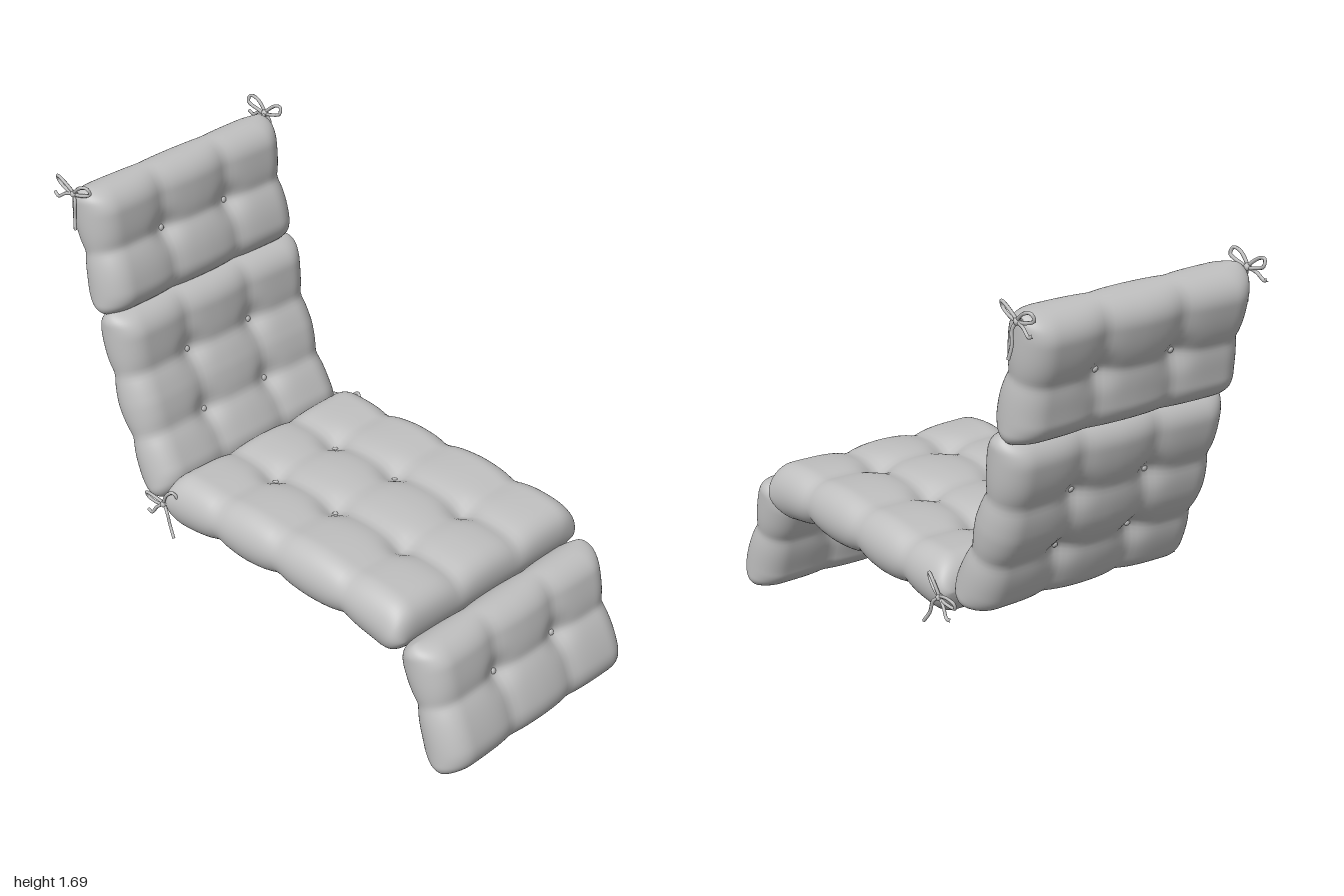
import * as THREE from 'three';
import { mergeVertices } from 'three/addons/utils/BufferGeometryUtils.js';

const fabric = new THREE.MeshStandardMaterial({ color: 0xc0c0c0 });
fabric.name = 'grey fabric';

const COLUMNS = [-0.165, 0.15]; // x of the tufted columns
const EDGE = 0.1;               // rounding of the pillow edge
const CORNER = 0.05;            // rounding of the corners in plan

const crease = (d, w) => Math.exp(0.25 - Math.sqrt(d * d / (w * w) + 0.0625));
const round = (d) => Math.sqrt(Math.max(0, 1 - (1 - Math.min(d / EDGE, 1)) ** 2));

// Each cushion follows a [z, y] centre line; rows are fractions of its length
const CUSHIONS = [
  { name: 'legCushion', line: [[0.905, 0.003], [0.885, 0.1], [0.825, 0.26], [0.78, 0.4], [0.755, 0.49]],
    half: 0.475, x: -0.013, thick: 0.107, rows: [0.53], buttons: [0.53] },
  { name: 'seatCushion', line: [[0.71, 0.47], [0.6, 0.502], [0.3, 0.524], [-0.1, 0.526], [-0.49, 0.52]],
    half: 0.492, x: -0.004, thick: 0.114, rows: [0.24, 0.515, 0.77], buttons: [0.515, 0.77] },
  { name: 'backCushion', line: [[-0.535, 0.49], [-0.61, 0.65], [-0.69, 0.85], [-0.74, 1.02], [-0.765, 1.195]],
    half: 0.47, x: -0.006, thick: 0.106, rows: [0.33, 0.66], buttons: [0.33, 0.66] },
  { name: 'headCushion', line: [[-0.795, 1.17], [-0.81, 1.3], [-0.85, 1.46], [-0.88, 1.655]],
    half: 0.47, x: -0.01, thick: 0.11, rows: [0.5], buttons: [0.5] },
];

// Returns a function giving the point of the pillow at u, v (-1..1, 0..1) on one side
function pillowSurface({ line, half, x: cx, thick, rows }) {
  const curve = new THREE.CatmullRomCurve3(line.map(([z, y]) => new THREE.Vector3(0, y, z)));
  const length = curve.getLength();
  const surface = (u, v, side) => {
    const p = curve.getPointAt(v), t = curve.getTangentAt(v);
    const normal = new THREE.Vector3(0, -t.z, t.y);
    const endDist = Math.min(v, 1 - v) * length;
    const k = Math.max(0, CORNER - endDist);
    const rowDist = Math.min(...rows.map((r) => Math.abs(v - r))) * length;
    const row = crease(rowDist, 0.055);
    const inset = CORNER - Math.sqrt(CORNER * CORNER - k * k) + 0.014 * row;
    const x = u * (half - inset);
    const colDist = Math.min(...COLUMNS.map((c) => Math.abs(x + cx - c)));
    const col = crease(colDist, 0.05);
    const tuft = Math.exp(-(rowDist ** 2 + colDist ** 2) / 0.003);
    const sag = 1 - 0.2 * row - 0.2 * col - 0.2 * tuft;
    const height = thick * sag * round((1 - Math.abs(u)) * half) * round(endDist);
    p.addScaledVector(normal, side * height);
    p.x = x + cx;
    return { p, normal: normal.multiplyScalar(side) };
  };
  return surface;
}

function pillowGeometry(surface, n = 64) {
  const positions = [], index = [];
  for (const side of [1, -1]) {
    const base = positions.length / 3;
    for (let j = 0; j <= n; j++) {
      for (let i = 0; i <= n; i++) {
        // samples crowd towards the rounded edges
        const u = -Math.cos(Math.PI * i / n), v = (1 - Math.cos(Math.PI * j / n)) / 2;
        positions.push(...surface(u, v, side).p.toArray());
        if (i === n || j === n) continue;
        const a = base + j * (n + 1) + i, b = a + 1, c = a + n + 1, d = c + 1;
        if (side > 0) index.push(a, b, d, a, d, c);
        else index.push(a, d, b, a, c, d);
      }
    }
  }
  const geometry = new THREE.BufferGeometry();
  geometry.setAttribute('position', new THREE.Float32BufferAttribute(positions, 3));
  geometry.setIndex(index);
  const welded = mergeVertices(geometry, 1e-5);
  welded.computeVertexNormals();
  return welded;
}

function addMesh(parent, name, geometry) {
  const mesh = new THREE.Mesh(geometry, fabric);
  mesh.name = name;
  parent.add(mesh);
  return mesh;
}

function createCushion(spec) {
  const group = new THREE.Group();
  group.name = spec.name;
  const surface = pillowSurface(spec);
  addMesh(group, 'pillow', pillowGeometry(surface));
  // Buttons sit in the tufts on both faces
  const up = new THREE.Vector3(0, 1, 0);
  for (const v of spec.buttons) for (const column of COLUMNS) for (const side of [1, -1]) {
    const { p, normal } = surface((column - spec.x) / (spec.half - 0.014), v, side);
    const button = addMesh(group, 'button', new THREE.SphereGeometry(0.012, 12, 8));
    button.scale.y = 0.6;
    button.position.copy(p).addScaledVector(normal, 0.003);
    button.quaternion.setFromUnitVectors(up, normal);
  }
  return group;
}

// Tied bow; points are [outward, y, z] from the knot
function createBow(side, y, z, x, tilt) {
  const bow = new THREE.Group();
  bow.name = 'tieBow';
  const ribbon = (name, points, closed) => addMesh(bow, name, new THREE.TubeGeometry(
    new THREE.CatmullRomCurve3(points.map(([a, b, c]) => new THREE.Vector3(a * side, b, c)), closed),
    24, 0.0065, 6, closed));
  for (const s of [1, -1]) {
    ribbon('bowLoop', [[0, 0, 0], [0.008, 0.04, s * 0.045], [0.004, 0.047, s * 0.08],
      [-0.004, 0.025, s * 0.085], [0, 0.005, s * 0.04]], true);
  }
  ribbon('bowTail', [[0, 0, 0], [0.01, -0.03, 0.015], [0.012, -0.08, 0.012], [0.02, -0.13, 0.02]], false);
  ribbon('bowTail', [[0, 0, 0], [0.006, -0.01, -0.04], [0.01, -0.03, -0.075], [0.008, -0.02, -0.095]], false);
  ribbon('tieStrap', [[0, 0, 0], [-0.02, -0.005, 0.01], [-0.06, -0.015, 0.02]], false);
  addMesh(bow, 'bowKnot', new THREE.SphereGeometry(0.014, 10, 8));
  bow.position.set(side * x, y, z);
  bow.rotation.x = tilt;
  return bow;
}

export function createModel() {
  const model = new THREE.Group();
  model.name = 'loungerCushion';
  for (const spec of CUSHIONS) model.add(createCushion(spec));
  for (const side of [1, -1]) {
    model.add(createBow(side, 1.635, -0.9, 0.475, 0));
    model.add(createBow(side, 0.51, -0.475, 0.488, -0.4));
  }
  return model;
}
